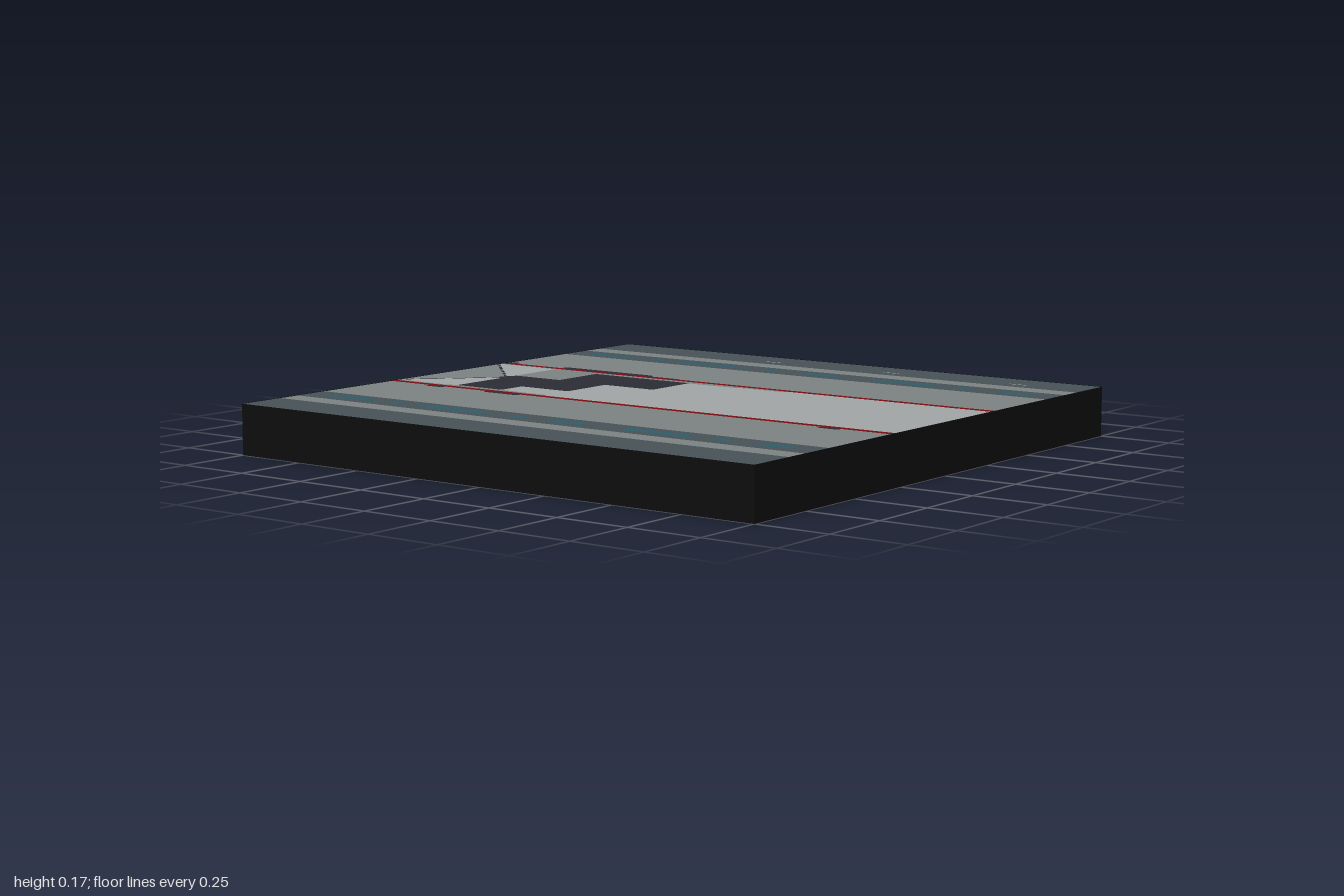
import * as THREE from 'three';

const mat = (name, color, side = THREE.FrontSide) => {
  const m = new THREE.MeshStandardMaterial({ color, side });
  m.name = name;
  return m;
};

const TOP = 0.166; // height of the tile
const MID = 0.161; // level the thin plates are centred on
const EDGE = 0.999; // plates stop just inside the walls

export function createModel() {
  const group = new THREE.Group();
  group.name = 'floorTile';
  const grey = mat('mid grey', 0x7c8181);
  const light = mat('light grey', 0xa0a4a4);
  const slate = mat('slate', 0x465156);
  const teal = mat('teal', 0x2f5c67);
  const red = mat('dark red', 0x7a0b10);
  const dark = mat('charcoal', 0x2c2c35);
  const black = mat('black', 0x0d0d0d, THREE.DoubleSide);

  // Thin plate from an [x, z] outline, showing above and below; higher layers cover lower ones
  const plate = (name, material, layer, points) => {
    const shape = new THREE.Shape(points.map(([x, z]) => new THREE.Vector2(x, -z)));
    const half = layer * 0.001;
    const geo = new THREE.ExtrudeGeometry(shape, { depth: half * 2, bevelEnabled: false });
    geo.rotateX(-Math.PI / 2).translate(0, MID - half, 0);
    const mesh = new THREE.Mesh(geo, material);
    mesh.name = name;
    group.add(mesh);
  };
  const rect = (name, material, layer, x0, x1, z0, z1) =>
    plate(name, material, layer, [[x0, z0], [x1, z0], [x1, z1], [x0, z1]]);
  // Strip with tapered ends
  const lozenge = (name, material, layer, x0, x1, z0, z1, taper = 0.015) => {
    const zm = (z0 + z1) / 2;
    plate(name, material, layer, [[x0, zm], [x0 + taper, z0], [x1 - taper, z0],
      [x1, zm], [x1 - taper, z1], [x0 + taper, z1]]);
  };

  // Outer walls, open at the bottom
  for (let i = 0; i < 4; i++) {
    const geo = new THREE.PlaneGeometry(2, TOP);
    geo.translate(0, TOP / 2, 1).rotateY((i * Math.PI) / 2);
    const wall = new THREE.Mesh(geo, black);
    wall.name = 'wall';
    group.add(wall);
  }

  // Deck and central walkway
  rect('deck', grey, 4, -EDGE, EDGE, -EDGE, EDGE);
  rect('walkway', light, 4.2, -EDGE, EDGE, -0.28, 0.28);

  // Mirrored bands, light dashes and red seams
  const dashes = [[-0.925, -0.71], [-0.65, -0.585], [-0.53, -0.23], [-0.15, -0.09],
    [0.005, 0.16], [0.29, 0.56], [0.63, 0.695], [0.785, 0.925]];
  for (const s of [-1, 1]) {
    const band = (name, m, layer, x0, x1, a, b) =>
      rect(name, m, layer, x0, x1, Math.min(s * a, s * b), Math.max(s * a, s * b));
    band('edgeBand', slate, 4.2, -EDGE, EDGE, 0.83, EDGE);
    band('innerBand', slate, 4.2, -EDGE, EDGE, 0.627, 0.75);
    band('redSeam', red, 4.6, -EDGE, EDGE, 0.277, 0.301);
    for (const [x0, x1] of dashes) {
      lozenge('tealDash', teal, 4.4, x0, x1, s * 0.686 - 0.022, s * 0.686 + 0.022);
    }
  }
  for (const x of [-0.255, 0.245, 0.745]) {
    rect('edgeMark', light, 4.4, x - 0.032, x + 0.032, -0.886, -0.88);
  }

  // Grey patches and shadow strips on the walkway
  plate('arrowPatch', grey, 4.4, [[-EDGE, -0.25], [-0.75, 0], [-EDGE, 0.24]]);
  rect('squarePatch', grey, 4.4, -0.75, -0.55, -0.28, -0.04);
  plate('backStrip', grey, 4.4, [[-0.56, -0.28], [0.23, -0.28], [0.22, -0.26],
    [0.07, -0.26], [0.03, -0.25], [-0.56, -0.24]]);
  plate('frontStrip', grey, 4.4, [[-0.78, 0.28], [-0.78, 0.26], [-0.74, 0.245],
    [-0.36, 0.262], [-0.34, 0.28]]);
  rect('backCornerStrip', grey, 4.4, -EDGE, -0.75, -0.28, -0.268);
  rect('frontCornerStrip', grey, 4.4, -EDGE, -0.75, 0.262, 0.28);

  // Broken dark outline along the two edges of the arrow
  for (const s of [-1, 1]) {
    for (const [a, b] of [[0, 0.1], [0.16, 0.4], [0.47, 0.62], [0.68, 0.78], [0.85, 1]]) {
      const at = (t, off) => [-EDGE + 0.245 * t + off, s * 0.245 * (1 - t)];
      plate('arrowEdge', dark, 4.6, [at(a, 0), at(b, 0), at(b, 0.014), at(a, 0.014)]);
    }
  }
  plate('arrowTip', dark, 4.6, [[-0.78, 0], [-0.745, -0.04], [-0.745, 0.04]]);

  // Stepped dark panel
  plate('steppedPanel', dark, 4.8, [[-0.555, -0.248], [-0.157, -0.248], [-0.157, -0.05],
    [-0.358, -0.05], [-0.358, 0.147], [-0.556, 0.147], [-0.556, 0.25],
    [-0.747, 0.25], [-0.747, -0.05], [-0.555, -0.05]]);

  // Dark scuffs beside the seams
  for (const [x0, x1, z0, z1] of [[-0.755, -0.36, -0.331, -0.3], [-0.4, -0.235, -0.31, -0.3],
    [-EDGE, -0.95, -0.327, -0.3], [-0.835, -0.755, 0.3, 0.321],
    [-0.58, -0.425, 0.3, 0.321], [0.74, 0.825, 0.3, 0.321]]) {
    lozenge('scuff', dark, 4.4, x0, x1, z0, z1);
  }

  return group;
}
